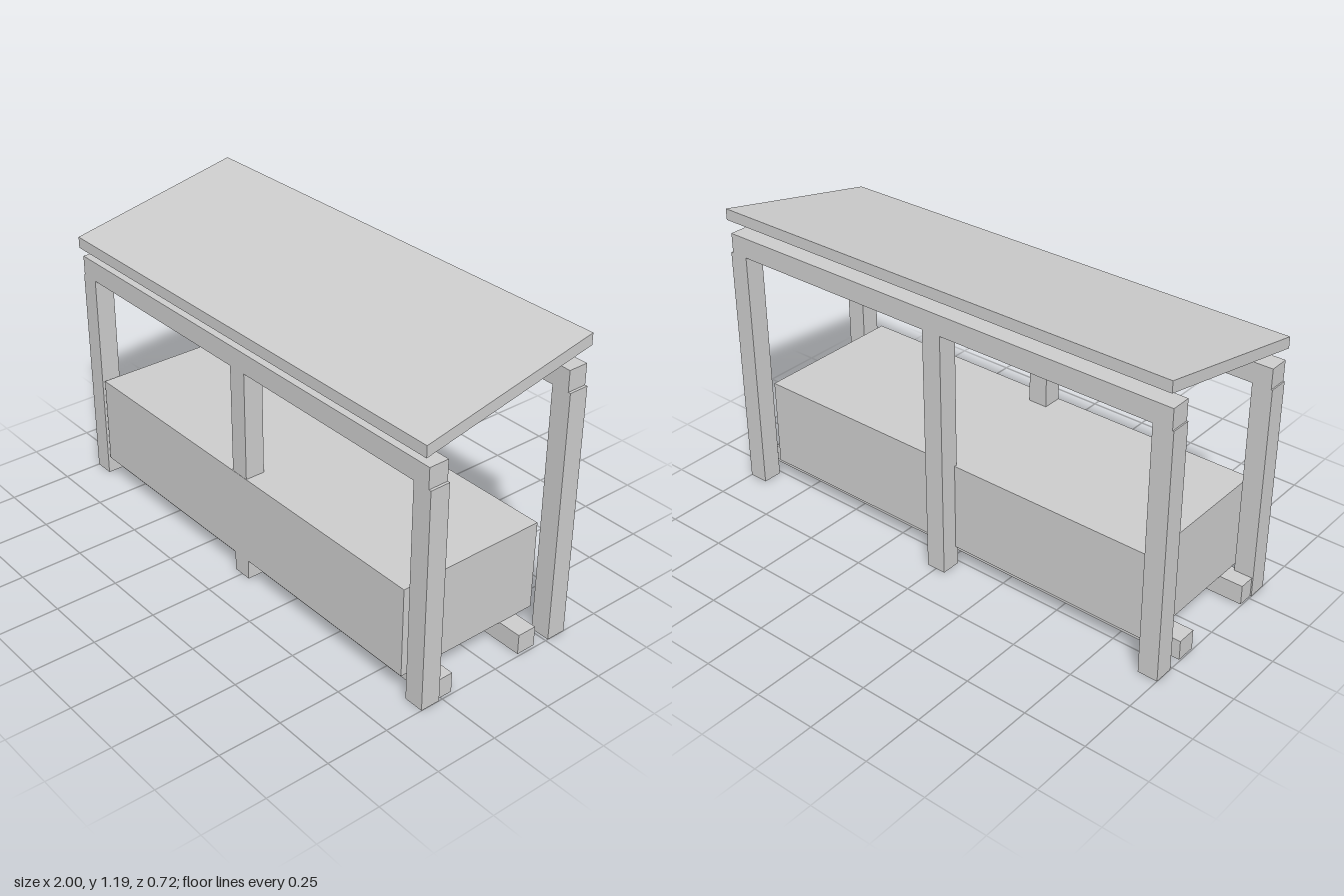
import * as THREE from 'three';

export function createModel() {
  const model = new THREE.Group();
  const grey = new THREE.MeshStandardMaterial({ color: 0xcccccc });
  grey.name = 'light grey';

  // Box given by its lower and upper limits on each axis
  const block = (name, [x0, x1], [y0, y1], [z0, z1]) => {
    const mesh = new THREE.Mesh(new THREE.BoxGeometry(x1 - x0, y1 - y0, z1 - z0), grey);
    mesh.position.set((x0 + x1) / 2, (y0 + y1) / 2, (z0 + z1) / 2);
    mesh.name = name;
    model.add(mesh);
  };

  const span = [-0.995, 0.99];
  const rows = [
    { side: 'front', z: [0.265, 0.345], height: 0.875 },
    { side: 'back', z: [-0.341, -0.261], height: 1.004 },
  ];

  // Three posts per row, with a beam across their tops
  for (const { side, z, height } of rows) {
    for (const x of [-0.96, 0, 0.96]) {
      block(side + 'Post', [x - 0.04, x + 0.04], [0, height], z);
    }
    block(side + 'Beam', span, [height, height + 0.081], z);
  }

  // Floor rails under the bin
  block('frontFloorRail', span, [0, 0.081], [0.2, 0.28]);
  block('backFloorRail', span, [0, 0.081], [-0.199, -0.119]);

  // Storage bin, its front level with the front posts
  block('bin', [-0.9, 0.895], [0.081, 0.44], [-0.273, 0.346]);

  // Sloping roof with upright edges: a side profile extruded along x
  const profile = new THREE.Shape([
    new THREE.Vector2(-0.36, 0.995),
    new THREE.Vector2(0.357, 1.146),
    new THREE.Vector2(0.357, 1.191),
    new THREE.Vector2(-0.36, 1.04),
  ]);
  const roofGeometry = new THREE.ExtrudeGeometry(profile, { depth: span[1] - span[0], bevelEnabled: false });
  roofGeometry.rotateY(Math.PI / 2);
  roofGeometry.translate(span[0], 0, 0);
  const roof = new THREE.Mesh(roofGeometry, grey);
  roof.name = 'roof';
  model.add(roof);

  return model;
}
